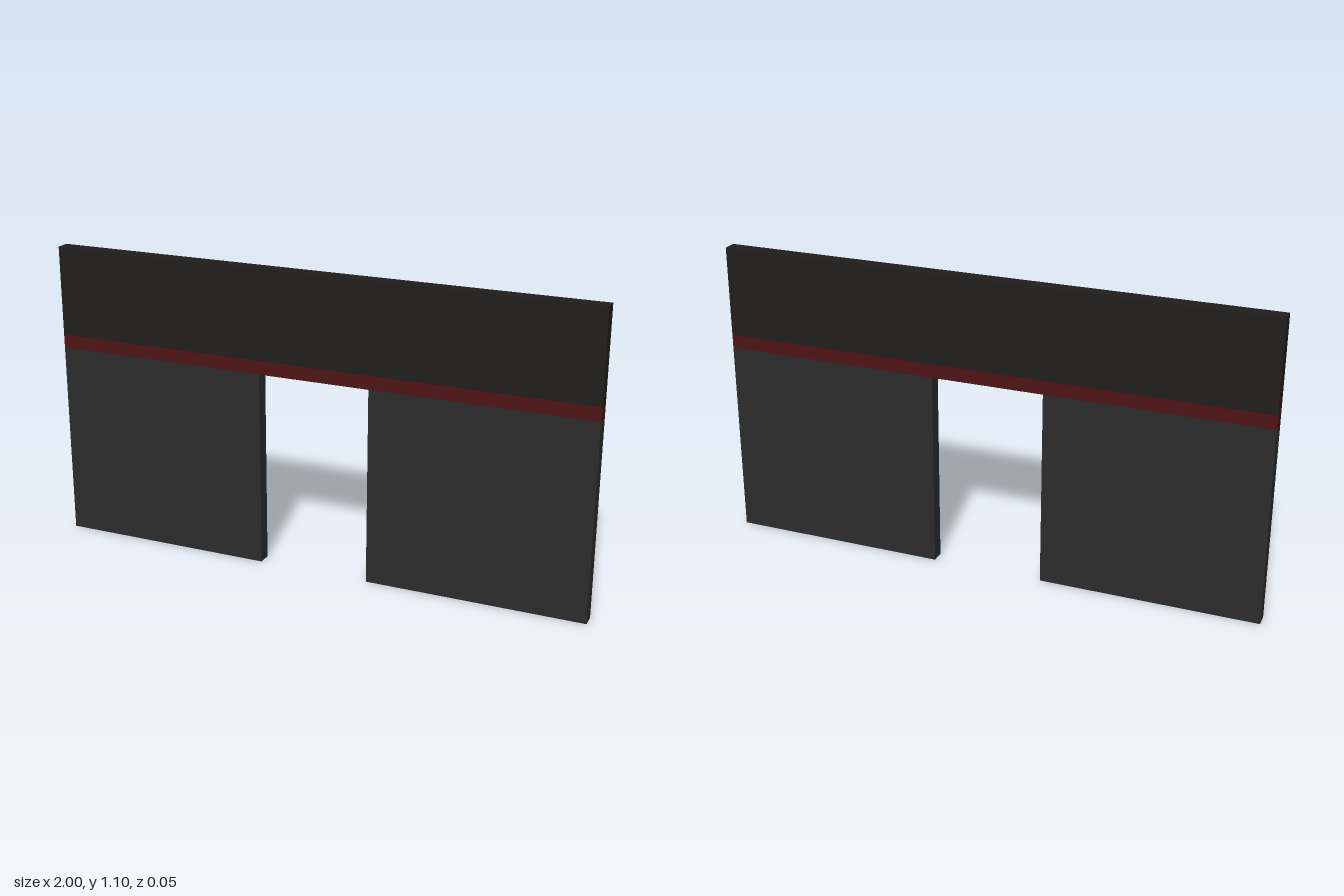
import * as THREE from 'three';

const DEPTH = 0.05;
const WIDTH = 2;
const DOOR_HALF = 0.205;
const WALL_TOP = 0.72;
const STRIPE_TOP = 0.77;
const TOP = 1.1;

const wallMat = new THREE.MeshStandardMaterial({ color: 0x2c2c2c });
const stripeMat = new THREE.MeshStandardMaterial({ color: 0x4e1313 });
const headerMat = new THREE.MeshStandardMaterial({ color: 0x1f1e1d });

// Box spanning x0..x1 and y0..y1, centred on z = 0
function slab(name, x0, x1, y0, y1, material) {
  const mesh = new THREE.Mesh(new THREE.BoxGeometry(x1 - x0, y1 - y0, DEPTH), material);
  mesh.position.set((x0 + x1) / 2, (y0 + y1) / 2, 0);
  mesh.name = name;
  return mesh;
}

export function createModel() {
  const model = new THREE.Group();
  model.name = 'doorwayWall';
  const half = WIDTH / 2;

  // Lower wall panels on either side of the doorway
  model.add(slab('leftWall', DOOR_HALF, half, 0, WALL_TOP, wallMat));
  model.add(slab('rightWall', -half, -DOOR_HALF, 0, WALL_TOP, wallMat));

  // Full-width red stripe over the doorway
  model.add(slab('stripe', -half, half, WALL_TOP, STRIPE_TOP, stripeMat));

  // Dark upper wall
  model.add(slab('upperWall', -half, half, STRIPE_TOP, TOP, headerMat));

  return model;
}
